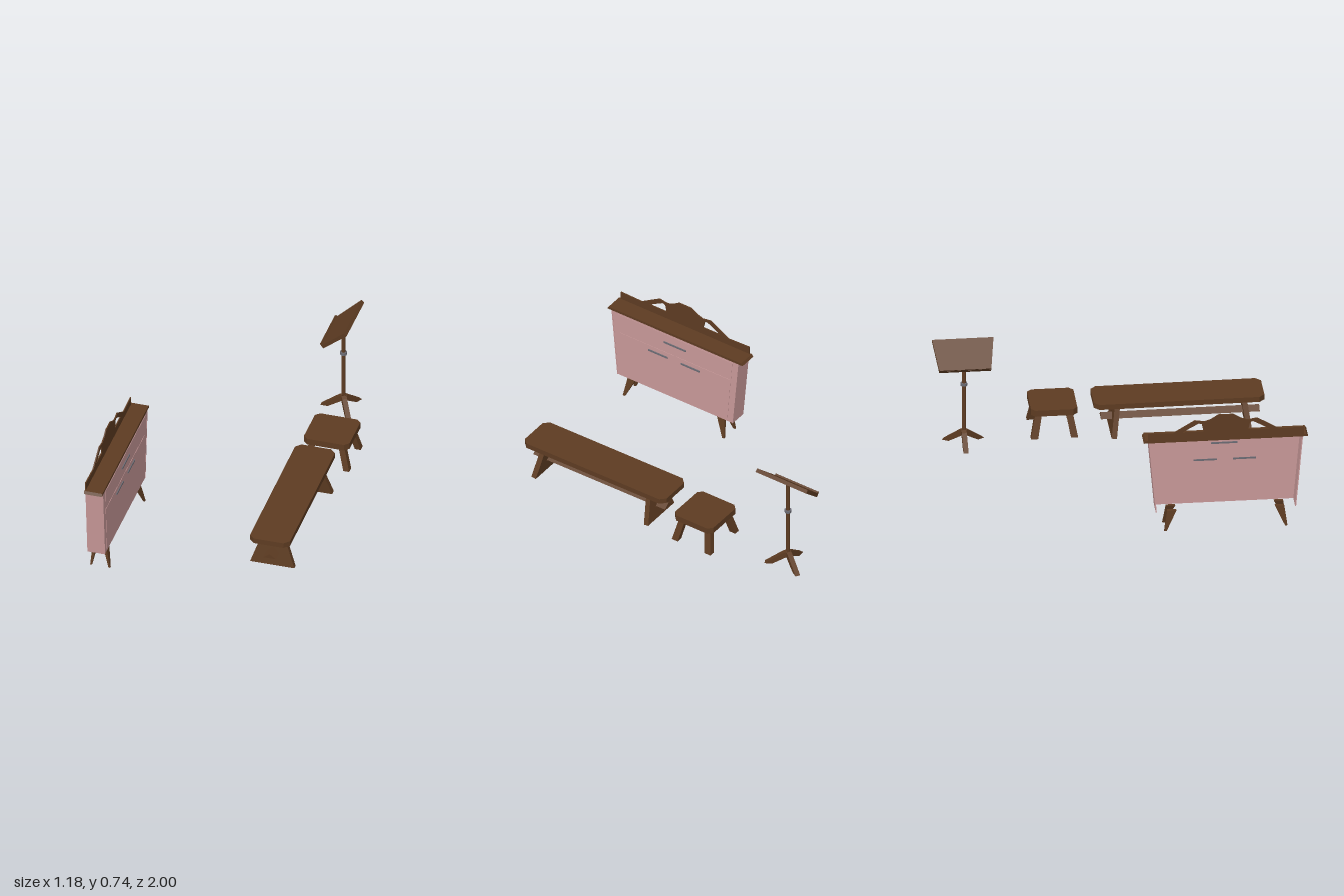
import * as THREE from 'three';

const material = (name, color) => {
  const m = new THREE.MeshStandardMaterial({ color });
  m.name = name;
  return m;
};

export function createModel() {
  const wood = material('dark wood', 0x5e3c22);
  const pink = material('pink paint', 0xc99999);
  const metal = material('grey metal', 0x6c6c74);
  const model = new THREE.Group();

  const group = (name, x, z, turn = 0) => {
    const g = new THREE.Group();
    g.name = name;
    g.position.set(x, 0, z);
    g.rotation.y = turn;
    model.add(g);
    return g;
  };
  const add = (parent, name, geometry, mat) => {
    const m = new THREE.Mesh(geometry, mat);
    m.name = name;
    parent.add(m);
    return m;
  };
  const outline = (points) => new THREE.Shape(points.map((p) => new THREE.Vector2(...p)));
  // Upright plate, centred on z = 0
  const plate = (points, depth, holes = []) => {
    const shape = outline(points);
    shape.holes = holes.map(outline);
    return new THREE.ExtrudeGeometry(shape, { depth, bevelEnabled: false }).translate(0, 0, -depth / 2);
  };
  // Flat board lying between y and y + height
  const slab = (points, y, height) =>
    new THREE.ExtrudeGeometry(outline(points), { depth: height, bevelEnabled: false })
      .rotateX(-Math.PI / 2).translate(0, y, 0);
  const chamfered = (w, d, c) => [
    [-w + c, -d], [w - c, -d], [w, -d + c], [w, d - c],
    [w - c, d], [-w + c, d], [-w, d - c], [-w, -d + c]];
  // Box between two rectangles, each given as [x, y, z, width, depth]
  const taper = (bottom, top) => {
    const g = new THREE.BoxGeometry(1, 1, 1);
    const p = g.attributes.position;
    for (let i = 0; i < p.count; i++) {
      const [x, y, z, w, d] = p.getY(i) < 0 ? bottom : top;
      p.setXYZ(i, x + p.getX(i) * w, y, z + p.getZ(i) * d);
    }
    g.computeVertexNormals();
    return g;
  };
  const box = (w, h, d, x, y, z) => new THREE.BoxGeometry(w, h, d).translate(x, y, z);

  // Sideboard: front and two ends, open at the back and bottom
  const sideboard = group('sideboard', -0.5425, 0.54, Math.PI / 2);
  add(sideboard, 'frontPanel', plate([[-0.393, 0.12], [0.393, 0.12], [0.432, 0.556], [-0.432, 0.556]], 0.006)
    .translate(0, 0, 0.047), pink);
  add(sideboard, 'drawerFront', plate([[-0.382, 0.432], [0.382, 0.432], [0.39, 0.542], [-0.39, 0.542]], 0.003)
    .translate(0, 0, 0.0505), pink);
  for (const s of [-1, 1]) {
    const door = [[0.004, 0.135], [0.357, 0.135], [0.378, 0.418], [0.004, 0.418]].map(([x, y]) => [s * x, y]);
    add(sideboard, 'door', plate(door, 0.003).translate(0, 0, 0.0505), pink);
    add(sideboard, 'endPanel', taper([s * 0.39, 0.12, 0, 0.006, 0.103], [s * 0.429, 0.556, 0, 0.006, 0.103]), pink);
    add(sideboard, 'doorHandle', box(0.13, 0.01, 0.016, s * 0.11 - 0.004, 0.386, 0.049), metal);
    // Splayed tapering feet
    add(sideboard, 'frontFoot', taper([s * 0.338, 0, 0.061, 0.014, 0.01], [s * 0.302, 0.12, 0.031, 0.052, 0.018]), wood);
    add(sideboard, 'backFoot', taper([s * 0.338, 0, -0.045, 0.014, 0.01], [s * 0.302, 0.12, -0.03, 0.052, 0.021]), wood);
  }
  add(sideboard, 'drawerHandle', box(0.15, 0.01, 0.016, 0, 0.488, 0.049), metal);
  add(sideboard, 'topBoard', taper([0, 0.553, 0, 0.92, 0.105], [0, 0.568, 0, 0.9, 0.105]), wood);

  // Scalloped back rail with two pierced openings
  const half = [[0.437, 0.566], [0.437, 0.614], [0.295, 0.61], [0.175, 0.682], [0.12, 0.673], [0.085, 0.685], [0.042, 0.712]];
  const mirror = (points) => points.map(([x, y]) => [-x, y]).reverse();
  const opening = [[0.125, 0.613], [0.24, 0.613], [0.205, 0.634], [0.152, 0.663], [0.135, 0.658]];
  add(sideboard, 'backRail', plate([...half, ...mirror(half)], 0.007, [opening, mirror(opening)])
    .translate(0, 0, -0.049), wood);

  // Long bench
  const bench = group('bench', 0.431, 0.374, 0.008);
  add(bench, 'benchTop', slab(chamfered(0.116, 0.478, 0.03), 0.311, 0.031), wood);
  for (const s of [-1, 1]) {
    const leg = add(bench, 'benchLeg', plate(
      [[-0.128, -0.183], [0.128, -0.183], [0.064, 0.002], [-0.064, 0.002]], 0.03,
      [[[-0.039, -0.108], [0.039, -0.108], [0, -0.07]]]), wood);
    leg.position.set(0, 0.313, 0.012 + s * 0.354);
    leg.rotation.x = -s * 0.14;
  }
  add(bench, 'stretcher', plate([[-0.036, 0.211], [0.036, 0.211], [0, 0.238]], 0.89).translate(0, 0, 0.013), wood);

  // Stool
  const stool = group('stool', 0.452, -0.325);
  add(stool, 'stoolTop', slab(chamfered(0.132, 0.13, 0.025), 0.283, 0.037), wood);
  for (const sx of [-1, 1]) for (const sz of [-1, 1]) {
    add(stool, 'stoolLeg', taper(
      [sx * 0.121, 0.145, sz * 0.112, 0.034, 0.04],
      [sx * 0.084, 0.286, sz * 0.085, 0.034, 0.038]), wood);
  }

  // Reading stand
  const stand = group('readingStand', 0.367, -0.828);
  const round = (r, h, y) => {
    const g = new THREE.CylinderGeometry(r, r, h, 8).rotateY(Math.PI / 8).toNonIndexed();
    g.computeVertexNormals();
    return g.translate(0, y, 0);
  };
  add(stand, 'column', round(0.012, 0.51, 0.42), wood);
  add(stand, 'collar', round(0.02, 0.017, 0.486), metal);
  for (const turn of [Math.PI, Math.PI / 3, -Math.PI / 3]) {
    const foot = add(stand, 'standFoot', plate(
      [[0, 0.172], [0.088, 0.117], [0.13, 0.117], [0.03, 0.192], [0, 0.208]], 0.028), wood);
    foot.rotation.y = turn;
  }
  // Sloping desk, wider along its upper edge
  const desk = new THREE.Group();
  desk.name = 'desk';
  desk.position.set(-0.0095, 0.67, 0);
  desk.rotation.z = 0.73;
  stand.add(desk);
  add(desk, 'deskBoard', slab([[-0.096, -0.145], [0.096, -0.172], [0.096, 0.172], [-0.096, 0.145]], -0.011, 0.022), wood);
  add(desk, 'deskLip', box(0.012, 0.012, 0.288, -0.089, 0.015, 0), wood);

  return model;
}
